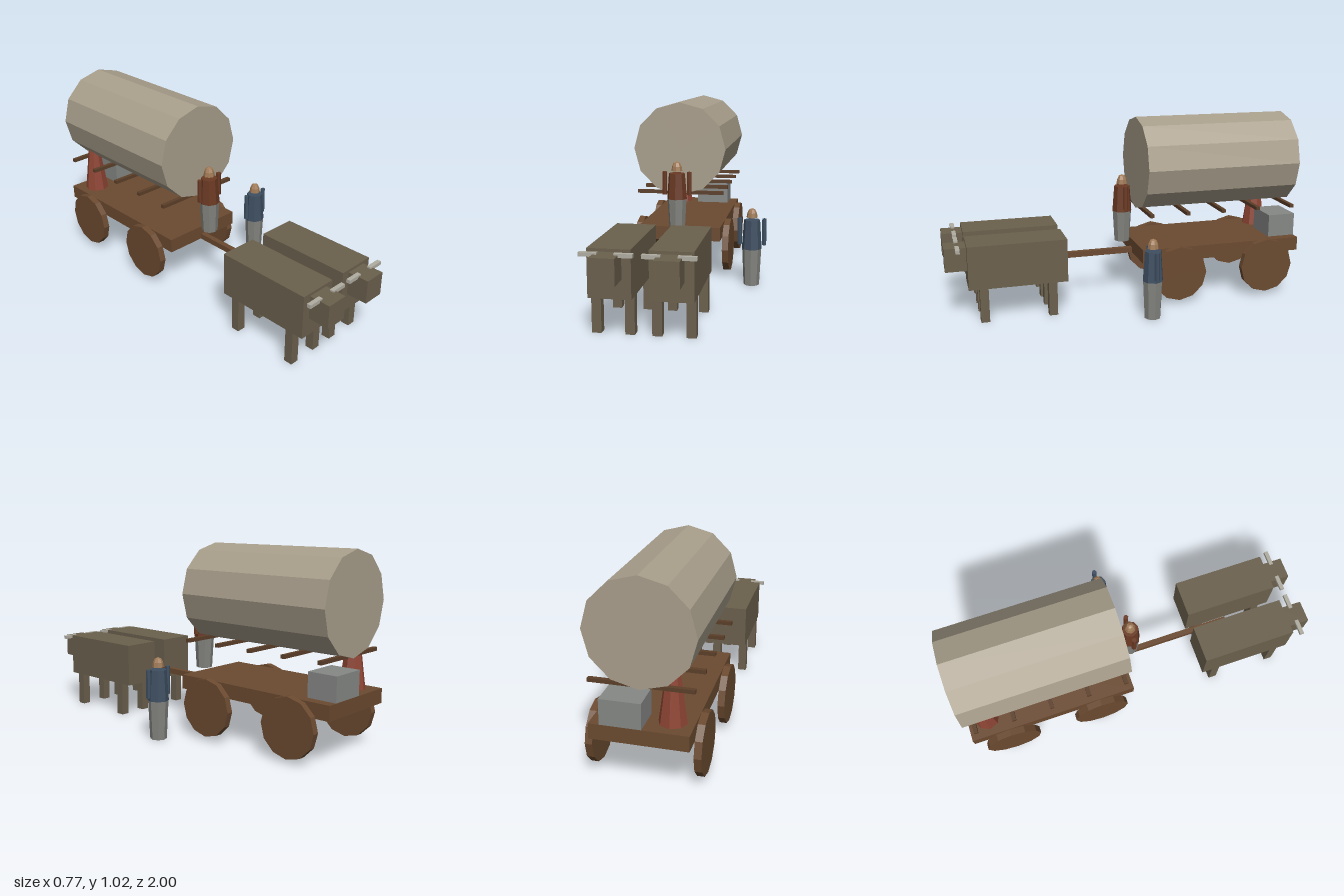
import * as THREE from 'three';

const WOOD = 0x6b4a30, TIMBER = 0x5c3f29, CANVAS = 0xa89e8b, HIDE = 0x6b604d, HORN = 0xb0ada2;
const GREY = 0x83847f, STONE = 0x868886, SKIN = 0xa07a56, RUST = 0x6b3a24, BLUE = 0x3f4f61, RED = 0x8e4534;
const CX = -0.113; // centre line of the wagon

function add(parent, name, geometry, color, x, y, z) {
  const material = new THREE.MeshStandardMaterial({ color, flatShading: true });
  const mesh = new THREE.Mesh(geometry, material);
  mesh.name = name;
  mesh.position.set(x, y, z);
  parent.add(mesh);
  return mesh;
}

const box = (w, h, d) => new THREE.BoxGeometry(w, h, d);
const tube = (top, bottom, h, n) => new THREE.CylinderGeometry(top, bottom, h, n);

function group(parent, name, x, y, z) {
  const g = new THREE.Group();
  g.name = name;
  g.position.set(x, y, z);
  parent.add(g);
  return g;
}

// Standing figure; heights are measured from the feet
function addPerson(parent, name, coat, pos, hip, shoulder, armLow, headLow) {
  const p = group(parent, name, ...pos);
  add(p, 'legs', tube(0.054, 0.044, hip, 8), GREY, 0, hip / 2, 0);
  add(p, 'torso', tube(0.045, 0.056, shoulder - hip, 8), coat, 0, (hip + shoulder) / 2, 0);
  const armHigh = shoulder + 0.008;
  for (const s of [-1, 1]) {
    add(p, s > 0 ? 'leftArm' : 'rightArm', tube(0.0135, 0.0135, armHigh - armLow, 6), coat,
      s * 0.069, (armHigh + armLow) / 2, 0);
  }
  const profile = [[0, 0], [0.031, 0], [0.027, 0.025], [0.018, 0.044], [0, 0.052]];
  const head = new THREE.LatheGeometry(profile.map(([r, y]) => new THREE.Vector2(r, y)), 8);
  add(p, 'head', head, SKIN, 0, headLow, 0);
}

// Draught animal facing forward
function addOx(parent, name, x) {
  const ox = group(parent, name, x, 0, 0);
  add(ox, 'body', box(0.206, 0.235, 0.525), HIDE, 0, 0.303, 0.624);
  add(ox, 'head', box(0.118, 0.126, 0.14), HIDE, 0, 0.343, 0.93);
  for (const s of [-1, 1]) {
    add(ox, 'horn', box(0.085, 0.019, 0.022), HORN, s * 0.082, 0.405, 0.933);
    for (const z of [0.444, 0.808]) {
      add(ox, 'leg', box(0.046, 0.187, 0.046), HIDE, s * 0.08, 0.0935, z);
    }
  }
}

export function createModel() {
  const model = new THREE.Group();
  model.name = 'oxWagon';

  // Wagon bed, pole and wheels
  const wagon = group(model, 'wagon', CX, 0, 0);
  add(wagon, 'bed', box(0.47, 0.077, 0.938), WOOD, 0, 0.278, -0.531);
  add(wagon, 'pole', box(0.03, 0.031, 0.66), WOOD, 0, 0.253, 0.26);
  for (const s of [-1, 1]) {
    for (const z of [-0.266, -0.79]) {
      const wheel = add(wagon, 'wheel', tube(0.155, 0.155, 0.036, 12), WOOD, s * 0.258, 0.175, z);
      wheel.rotation.z = Math.PI / 2;
    }
  }

  // Twelve-sided canvas cover with cross bars beneath
  const cover = add(wagon, 'cover', tube(0.261, 0.261, 0.888, 12), CANVAS, 0, 0.76, -0.53);
  cover.rotation.x = Math.PI / 2;
  for (let i = 0; i < 5; i++) {
    add(wagon, 'crossBar', box(0.495, 0.019, 0.022), TIMBER, 0, 0.51, -0.11 - i * 0.209);
  }

  // Load at the rear
  add(model, 'crate', box(0.198, 0.128, 0.16), STONE, -0.03, 0.381, -0.92);
  add(model, 'passengerDress', tube(0.03, 0.068, 0.28, 8), RED, -0.245, 0.457, -0.89);

  // Driver and walker
  addPerson(model, 'driver', RUST, [CX, 0.316, -0.006], 0.175, 0.318, 0.197, 0.332);
  addPerson(model, 'walker', BLUE, [0.304, 0, -0.06], 0.209, 0.373, 0.231, 0.387);

  // Team of two
  addOx(model, 'leftOx', 0.032);
  addOx(model, 'rightOx', -0.256);
  return model;
}
